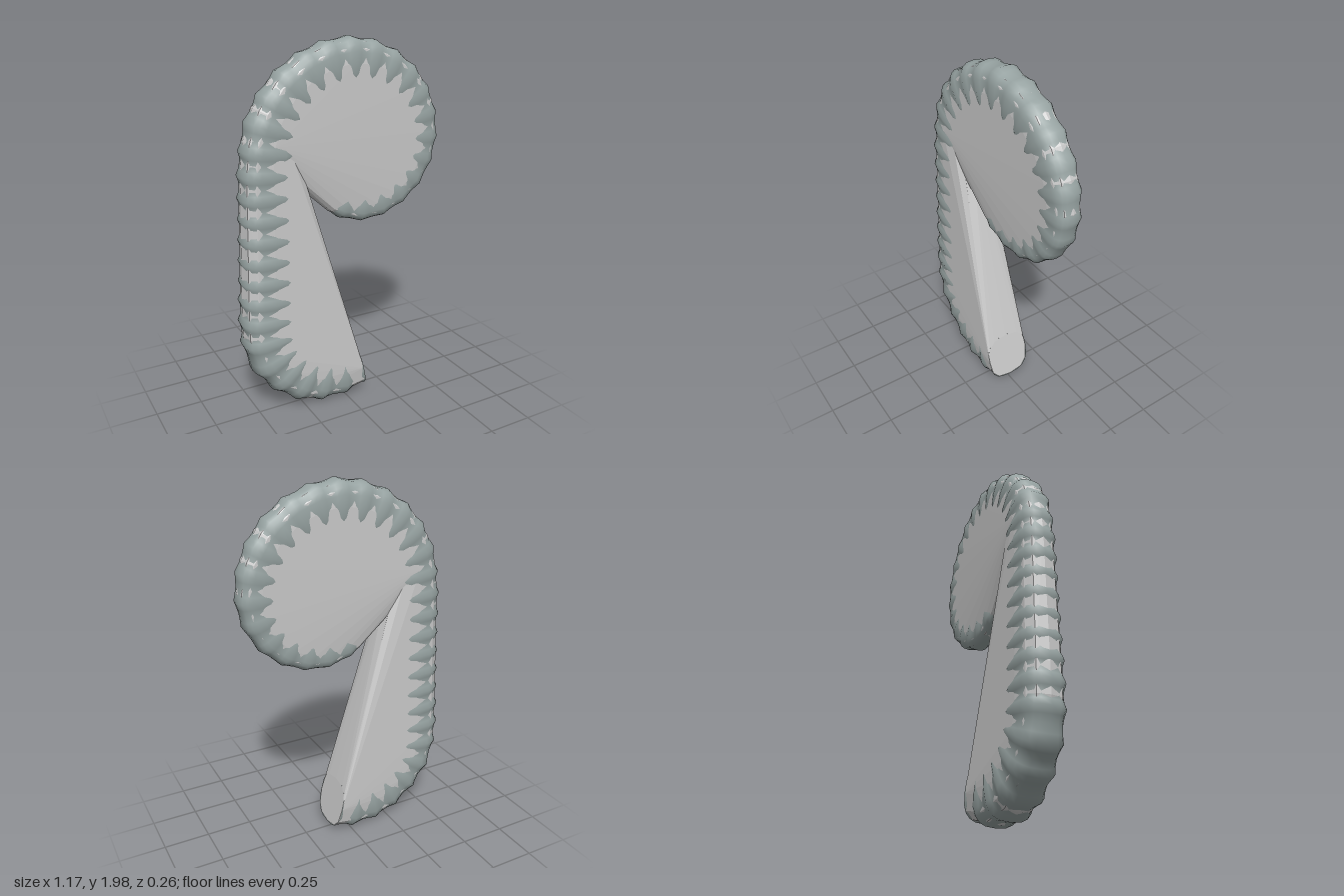
import * as THREE from 'three';
import { ConvexGeometry } from 'three/addons/geometries/ConvexGeometry.js';

// Centre line of the tentacle: x, y and in-plane radius
const PATH = [
  [0.085, 0.19, 0.14], [-0.05, 0.16, 0.15], [-0.2, 0.19, 0.16], [-0.31, 0.26, 0.16],
  [-0.4, 0.38, 0.16], [-0.425, 0.52, 0.16], [-0.42, 0.8, 0.155], [-0.415, 1.1, 0.15],
  [-0.41, 1.4, 0.145], [-0.375, 1.58, 0.14], [-0.275, 1.73, 0.135], [-0.13, 1.83, 0.13],
  [0.04, 1.87, 0.128], [0.22, 1.835, 0.122], [0.37, 1.73, 0.118], [0.46, 1.58, 0.113],
  [0.477, 1.43, 0.108], [0.435, 1.29, 0.1], [0.33, 1.18, 0.095], [0.17, 1.12, 0.09],
  [0.03, 1.135, 0.08], [-0.09, 1.19, 0.06],
];
const RIBS = 34, STEPS = RIBS * 4, SIDES = 20;
const curve = new THREE.CatmullRomCurve3(PATH.map((p) => new THREE.Vector3(...p)));
curve.arcLengthDivisions = 800;

// Rounded-box cross-section at t, scaled in the plane and in depth
function ring(t, planeScale, depthScale, sides) {
  const p = curve.getPointAt(t), d = curve.getTangentAt(t);
  const len = Math.hypot(d.x, d.y), nx = -d.y / len, ny = d.x / len;
  const depth = THREE.MathUtils.lerp(0.13, 0.064, t);
  const soft = (v) => Math.sign(v) * Math.abs(v) ** (2 / 2.8);
  return Array.from({ length: sides }, (_, i) => {
    const a = (i / sides) * Math.PI * 2;
    const u = soft(Math.cos(a)) * p.z * planeScale;
    return new THREE.Vector3(p.x + nx * u, p.y + ny * u, soft(Math.sin(a)) * depth * depthScale);
  });
}

// Ribbed skin with sharp ridges, closed by a rounded tip
function ribbedGeometry() {
  const points = [], index = [];
  for (let i = 0; i <= STEPS; i++) {
    const t = i / STEPS;
    const tip = Math.sqrt(Math.max(0, 1 - (Math.max(0, t - 0.98) / 0.02) ** 2));
    const rib = 1 - 0.11 * Math.abs(Math.sin(Math.PI * RIBS * t));
    points.push(...ring(t, rib * tip, rib * tip, SIDES));
    if (i === STEPS) break;
    for (let j = 0; j < SIDES; j++) {
      const a = i * SIDES + j, b = i * SIDES + ((j + 1) % SIDES);
      index.push(a, b, a + SIDES, b, b + SIDES, a + SIDES);
    }
  }
  const geometry = new THREE.BufferGeometry().setFromPoints(points);
  geometry.setIndex(index);
  geometry.computeVertexNormals();
  return geometry;
}

// Flat-sided convex web spanning a stretch of the tentacle
function webGeometry(from, to, count) {
  const points = [];
  for (let i = 0; i <= count; i++) {
    const t = from + ((to - from) * i) / count;
    const scale = t === 0 ? 0.98 : 0.91;
    points.push(...ring(t, t === 0 ? 0.98 : 0.93, scale, 12));
  }
  return new ConvexGeometry(points);
}

export function createModel() {
  const skin = new THREE.MeshStandardMaterial({ color: 0x98a4a3, side: THREE.DoubleSide });
  skin.name = 'blue grey skin';
  const web = new THREE.MeshStandardMaterial({ color: 0xcacaca });
  web.name = 'light grey web';

  const group = new THREE.Group();
  group.name = 'curledTentacle';
  const add = (name, geometry, material) => {
    const mesh = new THREE.Mesh(geometry, material);
    mesh.name = name;
    group.add(mesh);
  };
  add('ribbedTentacle', ribbedGeometry(), skin);

  // The two webs meet where the stalk turns into the curl
  let split = 0;
  while (curve.getPointAt(split).y < 1.5) split += 0.002;
  add('stalkWeb', webGeometry(0, split, 12), web);
  add('curlWeb', webGeometry(split, 0.985, 16), web);
  return group;
}
